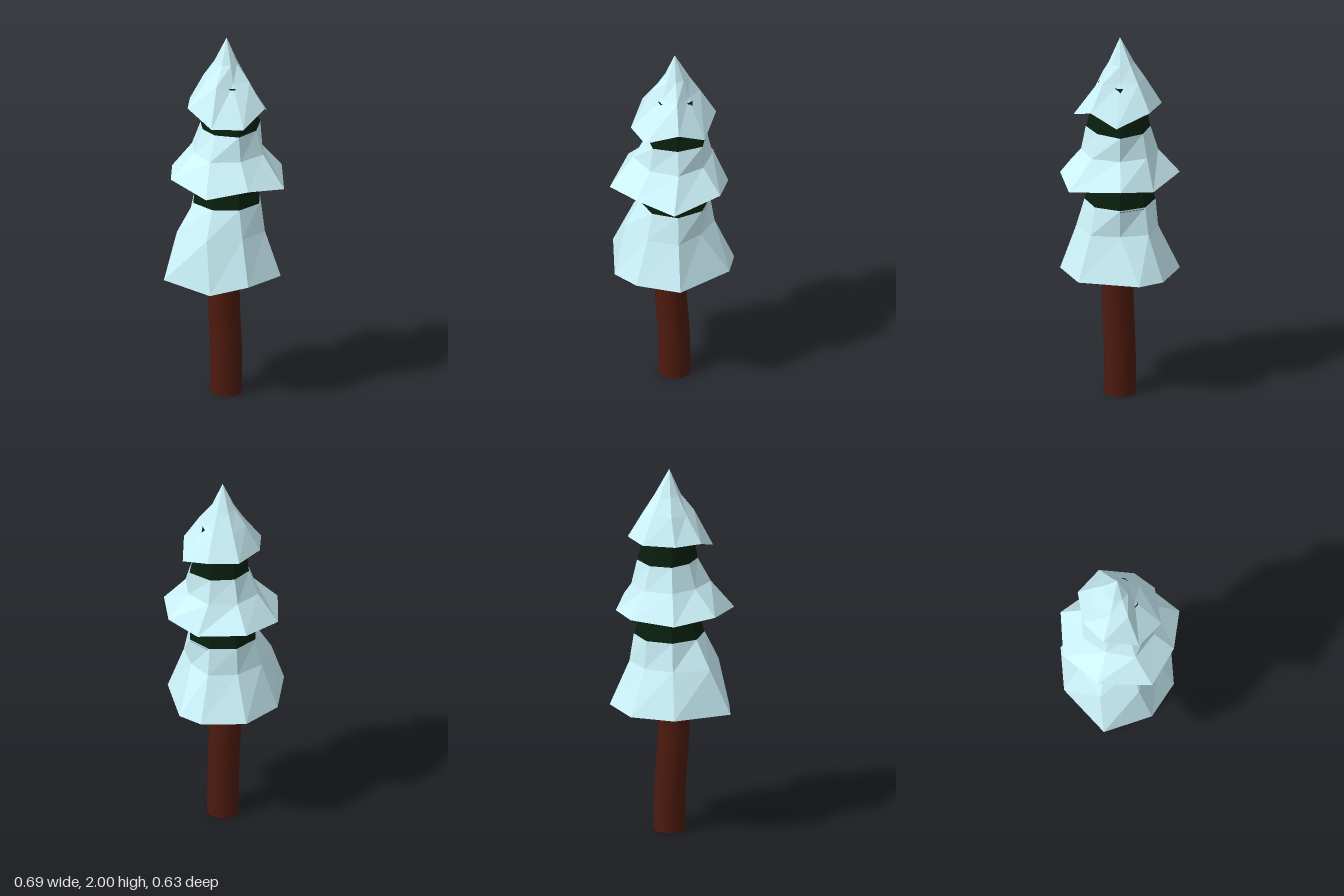
import * as THREE from 'three';

const CX = 0.03; // axis of the foliage
const SIDES = 8;

const flat = (color) => new THREE.MeshStandardMaterial({ color, flatShading: true });

// Eight points around the axis, starting at +x and turning towards +z
function ring(y, radii) {
  return Array.from({ length: SIDES }, (_, i) => {
    const a = (i / SIDES) * Math.PI * 2;
    const r = Array.isArray(radii) ? radii[i] : radii;
    return [CX + r * Math.cos(a), y, r * Math.sin(a)];
  });
}

// Faceted skin through rings listed from top to bottom
function loft(rings) {
  const pos = [];
  for (let k = 0; k < rings.length - 1; k++) {
    const a = rings[k], b = rings[k + 1];
    for (let i = 0; i < SIDES; i++) {
      const j = (i + 1) % SIDES;
      pos.push(...b[j], ...b[i], ...a[i], ...b[j], ...a[i], ...a[j]);
    }
  }
  const g = new THREE.BufferGeometry();
  g.setAttribute('position', new THREE.Float32BufferAttribute(pos, 3));
  g.computeVertexNormals();
  return g;
}

export function createModel() {
  const group = new THREE.Group();
  const snow = flat(0xcdf3fb);
  const green = flat(0x081f0e);
  const bark = new THREE.MeshStandardMaterial({ color: 0x4d1a0e });

  const add = (name, geometry, material) => {
    const mesh = new THREE.Mesh(geometry, material);
    mesh.name = name;
    group.add(mesh);
  };

  // Trunk: a cylinder whose rings drift along a gentle bend
  const trunk = new THREE.CylinderGeometry(0.083, 0.084, 0.86, 16, 8);
  trunk.translate(0, 0.43, 0);
  const p = trunk.attributes.position;
  for (let i = 0; i < p.count; i++) {
    const t = THREE.MathUtils.smoothstep(p.getY(i), 0.15, 0.6);
    p.setX(i, p.getX(i) + 0.028 - 0.019 * t);
    p.setZ(i, p.getZ(i) + 0.013 * t);
  }
  add('trunk', trunk, bark);

  // Ragged lower rims of the three snow skirts
  const rims = [
    [[0.32, 0.7, -0.1], [0.25, 0.7, 0.22], [0.03, 0.7, 0.315], [-0.165, 0.66, 0.26],
      [-0.345, 0.7, 0.055], [-0.19, 0.7, -0.22], [0.03, 0.7, -0.315], [0.25, 0.7, -0.225]],
    [[0.34, 1.24, 0], [0.25, 1.21, 0.27], [0.03, 1.24, 0.315], [-0.19, 1.21, 0.27],
      [-0.285, 1.24, 0], [-0.19, 1.225, -0.225], [0.03, 1.24, -0.315], [0.25, 1.21, -0.175]],
    [[0.25, 1.565, 0.02], [0.185, 1.63, 0.155], [0.03, 1.565, 0.245], [-0.125, 1.565, 0.175],
      [-0.19, 1.63, 0], [-0.125, 1.63, -0.135], [0.03, 1.63, -0.22], [0.185, 1.63, -0.155]],
  ];

  // Rings above each rim, from top to bottom
  const waist = [0.19, 0.17, 0.18, 0.15, 0.135, 0.15, 0.16, 0.17];
  const upper = [
    [ring(1.09, 0.187), ring(0.94, [0.18, 0.22, 0.23, 0.26, 0.28, 0.22, 0.2, 0.21])],
    [ring(1.5, waist), ring(1.37, [0.195, 0.21, 0.205, 0.22, 0.18, 0.2, 0.2, 0.2])],
    [ring(2, 0), ring(1.86, [0.06, 0.06, 0.06, 0.06, 0.063, 0.07, 0.075, 0.078]),
      ring(1.77, [0.096, 0.13, 0.097, 0.13, 0.118, 0.132, 0.135, 0.135])],
  ];

  const tiers = ['lower', 'middle', 'top'];
  tiers.forEach((tier, i) => {
    add(tier + 'Snow', loft([...upper[i], rims[i]]), snow);
    // Dark hollow underside closing the skirt
    add(tier + 'Underside', loft([rims[i], ring([0.8, 1.32, 1.69][i], 0)]), green);
  });

  // Dark needles showing between the skirts
  add('lowerNeedles', loft([ring(1.3, 0.135), ring(1.08, 0.187)]), green);
  add('upperNeedles', loft([ring(1.75, 0), ring(1.75, 0.115), ring(1.49, waist)]), green);

  return group;
}
